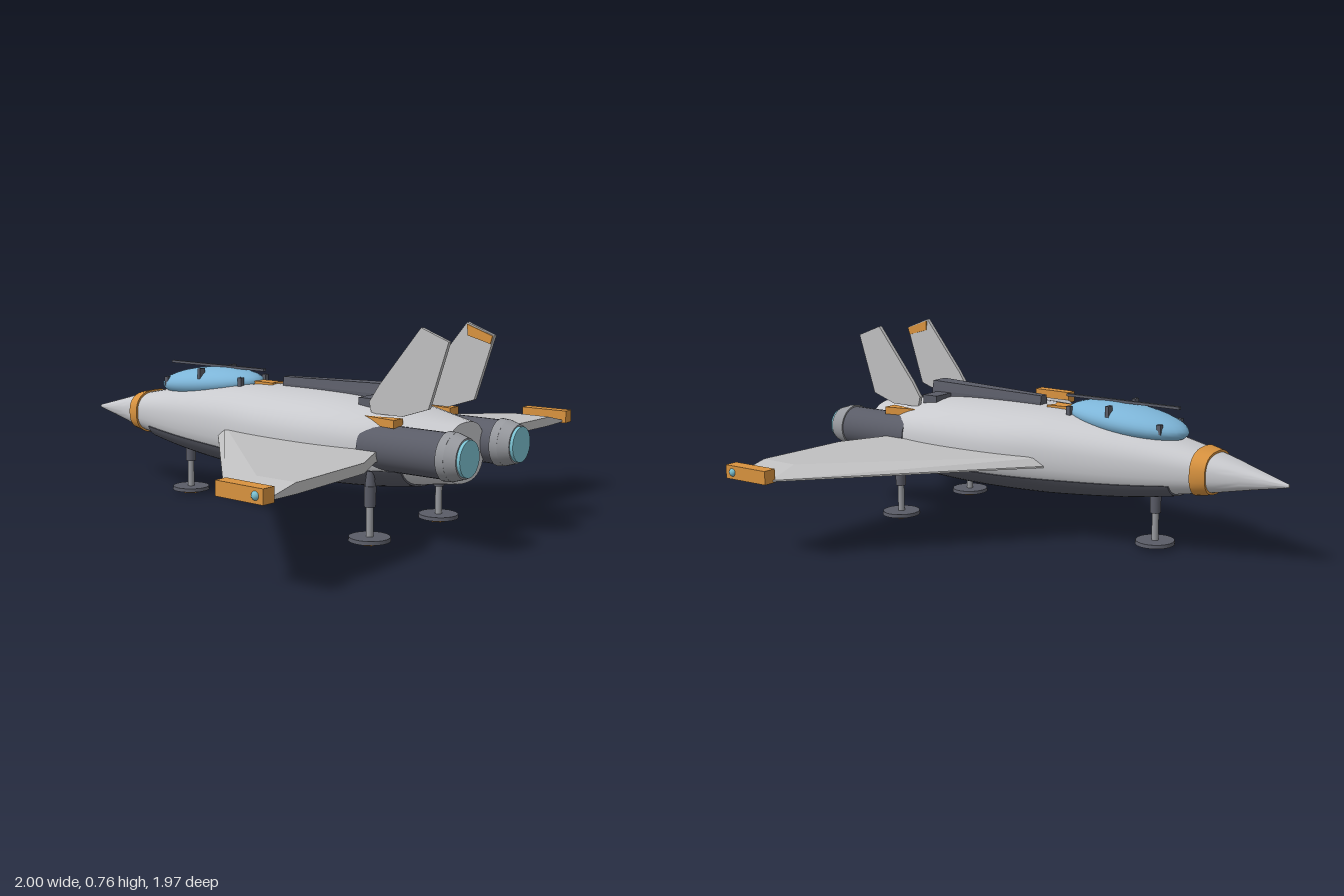
import * as THREE from 'three';
import { toCreasedNormals } from 'three/addons/utils/BufferGeometryUtils.js';

const mat = (name, color, side = THREE.FrontSide) => {
  const m = new THREE.MeshStandardMaterial({ color, side });
  m.name = name;
  return m;
};

// Closed solid through equal-length rings of [x, y, z]; winding is corrected by signed volume
function loft(rings, crease = 0.6) {
  const tris = [];
  const n = rings[0].length;
  const centre = (r) => [0, 1, 2].map((k) => r.reduce((s, p) => s + p[k], 0) / n);
  for (let i = 0; i < rings.length - 1; i++) {
    for (let j = 0; j < n; j++) {
      const k = (j + 1) % n;
      const a = rings[i][j], b = rings[i][k], c = rings[i + 1][j], d = rings[i + 1][k];
      tris.push([a, b, c], [b, d, c]);
    }
  }
  const first = rings[0], last = rings[rings.length - 1];
  const c0 = centre(first), c1 = centre(last);
  for (let j = 0; j < n; j++) {
    const k = (j + 1) % n;
    tris.push([c0, first[k], first[j]], [c1, last[j], last[k]]);
  }
  let volume = 0;
  for (const [a, b, c] of tris) {
    volume += a[0] * (b[1] * c[2] - b[2] * c[1]) + a[1] * (b[2] * c[0] - b[0] * c[2]) + a[2] * (b[0] * c[1] - b[1] * c[0]);
  }
  if (volume < 0) tris.forEach((t) => t.reverse());
  const geo = new THREE.BufferGeometry();
  geo.setAttribute('position', new THREE.Float32BufferAttribute(tris.flat(2), 3));
  return toCreasedNormals(geo, crease);
}

// Hull stations: z, half width, bottom, top
const stations = [
  [-0.985, 0.006, 0.305, 0.317], [-0.84, 0.052, 0.278, 0.357], [-0.7, 0.095, 0.25, 0.395],
  [-0.4, 0.168, 0.2, 0.453], [-0.1, 0.225, 0.172, 0.486], [0.1, 0.262, 0.166, 0.492],
  [0.3, 0.276, 0.166, 0.492], [0.45, 0.272, 0.171, 0.487], [0.6, 0.248, 0.181, 0.47],
  [0.72, 0.2, 0.195, 0.45], [0.86, 0.125, 0.212, 0.428],
];
function station(z) {
  const last = stations.length - 1;
  let i = 0;
  while (i < last - 1 && stations[i + 1][0] < z) i++;
  const s = (k) => stations[Math.min(last, Math.max(0, k))];
  const a = s(i), b = s(i + 1);
  const t = (z - a[0]) / (b[0] - a[0]);
  return [1, 2, 3].map((k) => {
    const slope = (p, q) => (q[k] - p[k]) / (q[0] - p[0]);
    const m0 = slope(s(i - 1), b) * (b[0] - a[0]), m1 = slope(a, s(i + 2)) * (b[0] - a[0]);
    return (2 * t ** 3 - 3 * t * t + 1) * a[k] + (t ** 3 - 2 * t * t + t) * m0
      + (3 * t * t - 2 * t ** 3) * b[k] + (t ** 3 - t * t) * m1;
  });
}
// Rounded-box cross-sections of the hull between two z values
function hull(z0, z1, steps, from, to, count, grow) {
  const rings = [];
  const bend = (v) => Math.sign(v) * Math.abs(v) ** 0.8;
  for (let i = 0; i <= steps; i++) {
    const z = z0 + ((z1 - z0) * i) / steps;
    const [w, lo, hi] = station(z);
    rings.push(Array.from({ length: count }, (_, j) => {
      const a = from + ((to - from) * j) / count;
      return [(w + grow) * bend(Math.cos(a)), (lo + hi) / 2 + ((hi - lo) / 2 + grow) * bend(Math.sin(a)), z];
    }));
  }
  return loft(rings);
}

export function createModel() {
  const model = new THREE.Group();
  model.name = 'spacecraft';
  const hullGrey = mat('hullGrey', 0xc8c9cd);
  const wingGrey = mat('wingGrey', 0xc0c0c1);
  const dark = mat('darkGrey', 0x5a5c67);
  const metal = mat('metalGrey', 0x97999e);
  const orange = mat('orange', 0xd9933f);
  const glass = mat('canopyBlue', 0x7db5d8);
  const glow = mat('engineCyan', 0x7cc2d2);

  const add = (name, geo, material, x = 0, y = 0, z = 0, parent = model) => {
    const mesh = new THREE.Mesh(geo, material);
    mesh.name = name;
    mesh.position.set(x, y, z);
    parent.add(mesh);
    return mesh;
  };
  const box = (w, h, d) => new THREE.BoxGeometry(w, h, d);
  const cyl = (top, bottom, h, sides = 20) => new THREE.CylinderGeometry(top, bottom, h, sides);
  const alongZ = (front, back, length, sides = 28) => cyl(front, back, length, sides).rotateX(Math.PI / 2);

  // Fuselage, dark underside and nose band
  add('fuselage', hull(-0.985, 0.86, 44, 0, Math.PI * 2, 40, 0), hullGrey);
  add('belly', hull(-0.57, 0.72, 30, -Math.PI + 0.36, -0.3, 24, 0.006), dark);
  add('noseBand', hull(-0.705, -0.65, 2, 0, Math.PI * 2, 32, 0.008), orange);

  // Canopy with its rail and clamps
  const canopy = add('canopy', new THREE.SphereGeometry(1, 32, 20), glass, 0, 0.47, -0.325);
  canopy.scale.set(0.12, 0.064, 0.255);
  canopy.rotation.x = -0.09;
  add('canopyRail', box(0.014, 0.01, 0.495), dark, 0, 0.54, -0.298);
  const notch = [[-0.025, -0.1], [0.025, -0.1], [0.035, 0.02], [0, 0.004], [-0.035, 0.02]];
  add('canopyTailMark', loft([0.47, 0.498].map((y) => notch.map(([x, z]) => [x, y, z])), 0.1), orange);

  // Dorsal spine with cross beam
  add('spine', loft([[0.06, 0.022, 0.526], [0.59, 0.045, 0.54]].map(([z, w, top]) => [
    [-w, 0.455, z], [w, 0.455, z], [w, 0.5, z], [w * 0.8, top, z], [-w * 0.8, top, z], [-w, 0.5, z],
  ]), 0.1), dark);
  add('crossBeam', box(0.265, 0.04, 0.07), dark, 0, 0.477, 0.53);

  // Outlines shared by both sides
  const wingBottom = [[0.15, -0.165], [0.95, 0.58], [0.95, 0.755], [0.81, 0.76], [0.44, 0.74], [0.26, 0.66], [0.15, 0.66]];
  const wingTop = [[0.15, -0.13], [0.82, 0.6], [0.82, 0.758], [0.8, 0.759], [0.44, 0.74], [0.26, 0.66], [0.15, 0.66]];
  const finSide = [[0.57, 0.45], [0.7, 0.45], [0.805, 0.485], [0.88, 0.72], [0.77, 0.762], [0.6, 0.55], [0.56, 0.49]];
  const finMark = [[0.775, 0.715], [0.867, 0.69], [0.876, 0.718], [0.772, 0.755]];
  const flag = [[0.185, 0.56], [0.212, 0.7], [0.155, 0.7]];

  for (const s of [1, -1]) {
    const tag = s > 0 ? 'left' : 'right';
    const slab = (pts, a, b) => loft([a, b].map((x) => pts.map(([z, y]) => [s * x, y, z])), 0.1);

    // Delta wing with bevelled leading edge and tip
    add(`${tag}Wing`, loft([
      wingBottom.map(([x, z]) => [s * x, 0.3, z]),
      wingBottom.map(([x, z]) => [s * x, 0.306, z]),
      wingTop.map(([x, z]) => [s * x, 0.336, z]),
    ], 0.1), wingGrey);
    const pod = add(`${tag}WingtipPod`, box(0.05, 0.05, 0.195), orange, s * 0.963, 0.321, 0.673);
    pod.rotation.y = s * 0.03;
    add(`${tag}TipLight`, new THREE.SphereGeometry(0.016, 14, 10), glow, s * 0.984, 0.321, 0.738);

    // Tail fin with inner marking
    add(`${tag}Fin`, slab(finSide, 0.143, 0.159), wingGrey);
    add(`${tag}FinMark`, slab(finMark, 0.138, 0.1435), orange);
    add(`${tag}NacelleFlag`, loft([0.415, 0.444].map((y) => flag.map(([x, z]) => [s * x, y, z])), 0.1), orange);

    // Engine
    const engine = new THREE.Group();
    engine.name = `${tag}Engine`;
    engine.position.set(s * 0.177, 0.338, 0);
    model.add(engine);
    add('nacelle', alongZ(0.08, 0.081, 0.33), dark, 0, 0, 0.74, engine);
    add('nozzleCollar', alongZ(0.083, 0.086, 0.03), metal, 0, 0, 0.913, engine);
    add('nozzle', alongZ(0.07, 0.083, 0.042), metal, 0, 0, 0.948, engine);
    add('exhaust', alongZ(0.064, 0.064, 0.03), glow, 0, 0, 0.966, engine);

    // Canopy clamps
    add(`${tag}MidClamp`, box(0.03, 0.048, 0.014), dark, s * 0.095, 0.513, -0.3);
    add(`${tag}AftClamp`, box(0.018, 0.036, 0.018), dark, s * 0.075, 0.495, -0.11);
    add(`${tag}ForeClamp`, box(0.018, 0.036, 0.018), dark, s * 0.075, 0.468, -0.505);
  }

  // Landing legs with round feet
  for (const [name, x, z, top] of [['noseGear', 0, -0.45, 0.22], ['leftGear', 0.225, 0.615, 0.26], ['rightGear', -0.225, 0.615, 0.26]]) {
    const leg = new THREE.Group();
    leg.name = name;
    leg.position.set(x, 0, z);
    model.add(leg);
    add('sleeve', cyl(0.022, 0.02, 0.075), dark, 0, 0.17, 0, leg);
    add('upperStrut', cyl(0.012, 0.02, top - 0.2), dark, 0, (top + 0.2) / 2, 0, leg);
    add('lowerStrut', cyl(0.013, 0.013, 0.12), metal, 0, 0.08, 0, leg);
    add('foot', cyl(0.074, 0.076, 0.014, 24), dark, 0, 0.019, 0, leg);
    add('footPad', cyl(0.042, 0.038, 0.014, 8), orange, 0, 0.007, 0, leg);
  }
  return model;
}
